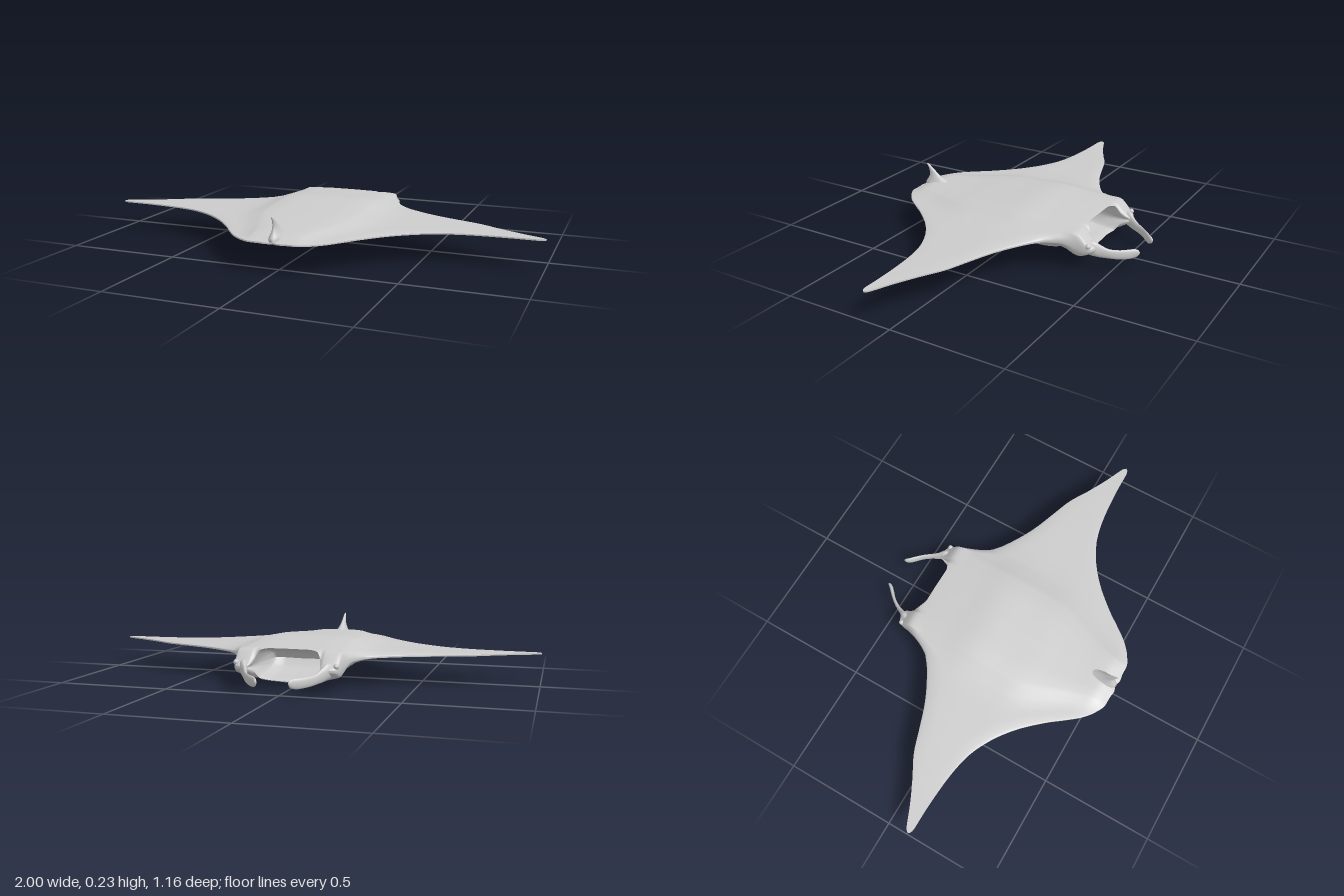
import * as THREE from 'three';

const material = new THREE.MeshStandardMaterial({ color: 0xcccccc, side: THREE.DoubleSide });
const mix = (a, b, t) => a + (b - a) * t;
const step = (a, b, v) => {
  const t = Math.min(1, Math.max(0, (v - a) / (b - a)));
  return t * t * (3 - 2 * t);
};

// Smooth curve through [position, value] pairs, without overshoot
function curve(p) {
  const n = p.length;
  const d = p.slice(1).map((q, i) => (q[1] - p[i][1]) / (q[0] - p[i][0]));
  const m = p.map((_, i) => {
    if (i === 0) return d[0];
    if (i === n - 1) return d[n - 2];
    return d[i - 1] * d[i] <= 0 ? 0 : (2 * d[i - 1] * d[i]) / (d[i - 1] + d[i]);
  });
  return (v) => {
    if (v <= p[0][0]) return p[0][1];
    if (v >= p[n - 1][0]) return p[n - 1][1];
    let i = 0;
    while (v > p[i + 1][0]) i++;
    const h = p[i + 1][0] - p[i][0], t = (v - p[i][0]) / h, s = 1 - t;
    return p[i][1] * (1 + 2 * t) * s * s + m[i] * h * t * s * s +
      p[i + 1][1] * t * t * (3 - 2 * t) - m[i + 1] * h * t * t * s;
  };
}

// Outline of the disc: leading and trailing edge by distance from the middle
const frontEdge = curve([[0, -.358], [.08, -.357], [.12, -.37], [.145, -.395], [.158, -.435], [.175, -.44],
  [.2, -.435], [.222, -.42], [.232, -.375], [.25, -.325], [.27, -.28], [.3, -.235], [.37, -.183], [.49, -.12],
  [.6, -.08], [.7, -.045], [.8, .01], [.9, .06], [.97, .09], [.99, .1], [1, .112]]);
const backEdge = curve([[0, .568], [.03, .577], [.06, .573], [.1, .572], [.15, .55], [.2, .51], [.25, .45],
  [.3, .385], [.4, .28], [.5, .208], [.6, .163], [.7, .142], [.8, .132], [.9, .127], [.97, .126], [.99, .122], [1, .112]]);
// Back and belly heights along the middle
const topLine = curve([[-.44, .122], [-.42, .128], [-.4, .145], [-.36, .174], [-.3, .18], [-.2, .187], [-.07, .197],
  [.1, .186], [.2, .179], [.3, .17], [.4, .163], [.5, .158], [.58, .136]]);
const bellyLine = curve([[-.44, .07], [-.42, .063], [-.38, .045], [-.33, .025], [-.28, .024], [-.24, .028], [-.22, .016],
  [-.13, .003], [-.05, .008], [0, .022], [.05, .042], [.1, .069], [.15, .087], [.2, .097], [.3, .109], [.4, .12], [.58, .128]]);
// How the heights fade out towards the wings
const topSpread = curve([[0, 1], [.12, .97], [.2, .85], [.25, .6], [.3, .38], [.35, .27], [.5, .18], [.7, .1], [1, .01]]);
const bellySpread = curve([[0, 1], [.1, .92], [.15, .72], [.2, .44], [.25, .2], [.3, .08], [.35, .02], [.4, 0]]);

const rim = (z) => mix(.13, .1, step(-.3, -.43, z));
const round = (d, r) => Math.sqrt(Math.max(0, 1 - (1 - Math.min(1, d / r)) ** 2));

// Upper (side 1) or lower (side -1) skin height
function skin(x, z, side, zf, zb, open) {
  const chord = zb - zf + 1e-6;
  const r = Math.min(.07, chord / 2);
  const edge = mix(round(z - zf, r), 1, open) * round(zb - z, r);
  const y0 = rim(z);
  const widen = 1 + .6 * step(-.3, -.43, z);
  const narrow = mix(1, .5, step(.15, .55, z));
  const h = side > 0
    ? Math.max(0, topLine(z) - y0) * topSpread(x / (widen * narrow))
    : Math.max(0, y0 - bellyLine(z)) * bellySpread(x / widen);
  return y0 + side * (.003 + Math.max(0, h - .003) * edge);
}

// Joins equal rings of points into one skin
function loft(rings, capped) {
  const n = rings[0].length, index = [];
  for (let i = 0; i < rings.length - 1; i++) {
    for (let j = 0; j < n; j++) {
      const k = (j + 1) % n, a = i * n + j, b = i * n + k;
      index.push(a, b, a + n, b, b + n, a + n);
    }
  }
  if (capped) {
    const last = (rings.length - 1) * n;
    for (let j = 1; j < n - 1; j++) index.push(0, j + 1, j, last, last + j, last + j + 1);
  }
  const g = new THREE.BufferGeometry();
  g.setAttribute('position', new THREE.Float32BufferAttribute(rings.flat(2), 3));
  g.setIndex(index);
  g.computeVertexNormals();
  return g;
}

// One fore-and-aft section: mouth roof, back, belly, mouth floor
function bodySection(sx) {
  const x = Math.abs(sx), zf = frontEdge(x), zb = backEdge(x);
  const open = 1 - step(.125, .165, x);
  const outer = 56, inner = 10, ring = [];
  const yTop = skin(x, zf, 1, zf, zb, open), yLow = skin(x, zf, -1, zf, zb, open);
  const mid = (yTop + yLow) / 2;
  const mouth = (y, k) => [sx, mid + (y - mid) * (k ? .9 : 1) * Math.sqrt(1 - k * k), zf + .2 * open * k];
  const along = (i) => mix(zf, zb, (1 - Math.cos((Math.PI * i) / outer)) / 2);
  for (let i = inner; i > 0; i--) ring.push(mouth(yTop, i / inner));
  for (let i = 0; i <= outer; i++) ring.push([sx, skin(x, along(i), 1, zf, zb, open), along(i)]);
  for (let i = outer; i >= 0; i--) ring.push([sx, skin(x, along(i), -1, zf, zb, open), along(i)]);
  for (let i = 1; i <= inner; i++) ring.push(mouth(yLow, i / inner));
  return ring;
}

function add(group, name, geometry) {
  const mesh = new THREE.Mesh(geometry, material);
  mesh.name = name;
  group.add(mesh);
  return mesh;
}

export function createModel() {
  const model = new THREE.Group();
  model.name = 'ray';

  // Body with wings and open mouth
  const half = [];
  for (let i = 1; i <= 60; i++) half.push(i * .005);
  for (let i = 1; i <= 30; i++) half.push(.3 + .7 * Math.sin((Math.PI / 2) * (i / 30)));
  const stations = [...half.map((x) => -x).reverse(), 0, ...half];
  add(model, 'body', loft(stations.map(bodySection), false));

  // Dorsal fin: height, front, back, half thickness
  const fin = [[.135, .4, .574, .036], [.15, .425, .57, .03], [.16, .45, .562, .023], [.18, .488, .551, .014],
    [.2, .513, .55, .009], [.22, .537, .557, .006], [.232, .551, .566, .004], [.236, .558, .567, .001]];
  add(model, 'dorsalFin', loft(fin.map(([y, f, b, w]) => Array.from({ length: 20 }, (_, j) => {
    const a = (j / 20) * Math.PI * 2;
    return [w * Math.sin(a), y, (f + b) / 2 + ((b - f) / 2) * Math.cos(a)];
  })), true));

  // Head fins: x, y, z, half height, half thickness along a curling path
  const horn = [[.19, .1, -.395, .03, .02], [.178, .096, -.425, .034, .018], [.165, .084, -.45, .028, .011],
    [.148, .073, -.485, .021, .008], [.124, .068, -.52, .021, .007], [.098, .066, -.547, .022, .008],
    [.08, .067, -.565, .02, .008], [.072, .069, -.578, .014, .006], [.069, .07, -.585, .003, .002]];
  const path = [0, 1, 2, 3, 4].map((k) => curve(horn.map((h, i) => [i, h[k]])));
  for (const [side, label] of [[1, 'left'], [-1, 'right']]) {
    const rings = [];
    for (let i = 0; i <= 32; i++) {
      const t = i / 4;
      const [x, y, z, h, w] = path.map((f) => f(t));
      const dx = path[0](t + .05) - path[0](t - .05), dz = path[2](t + .05) - path[2](t - .05);
      const l = Math.hypot(dx, dz);
      const ring = [];
      for (let j = 0; j < 18; j++) {
        const a = (j / 18) * Math.PI * 2 * side, o = w * Math.cos(a);
        ring.push([side * (x - (dz / l) * o), y + h * Math.sin(a), z + (dx / l) * o]);
      }
      rings.push(ring);
    }
    add(model, label + 'HeadFin', loft(rings, true));

    // Eye on the side of the head
    const eye = add(model, label + 'Eye', new THREE.SphereGeometry(.012, 16, 12));
    eye.position.set(side * .216, .118, -.415);
  }
  return model;
}
